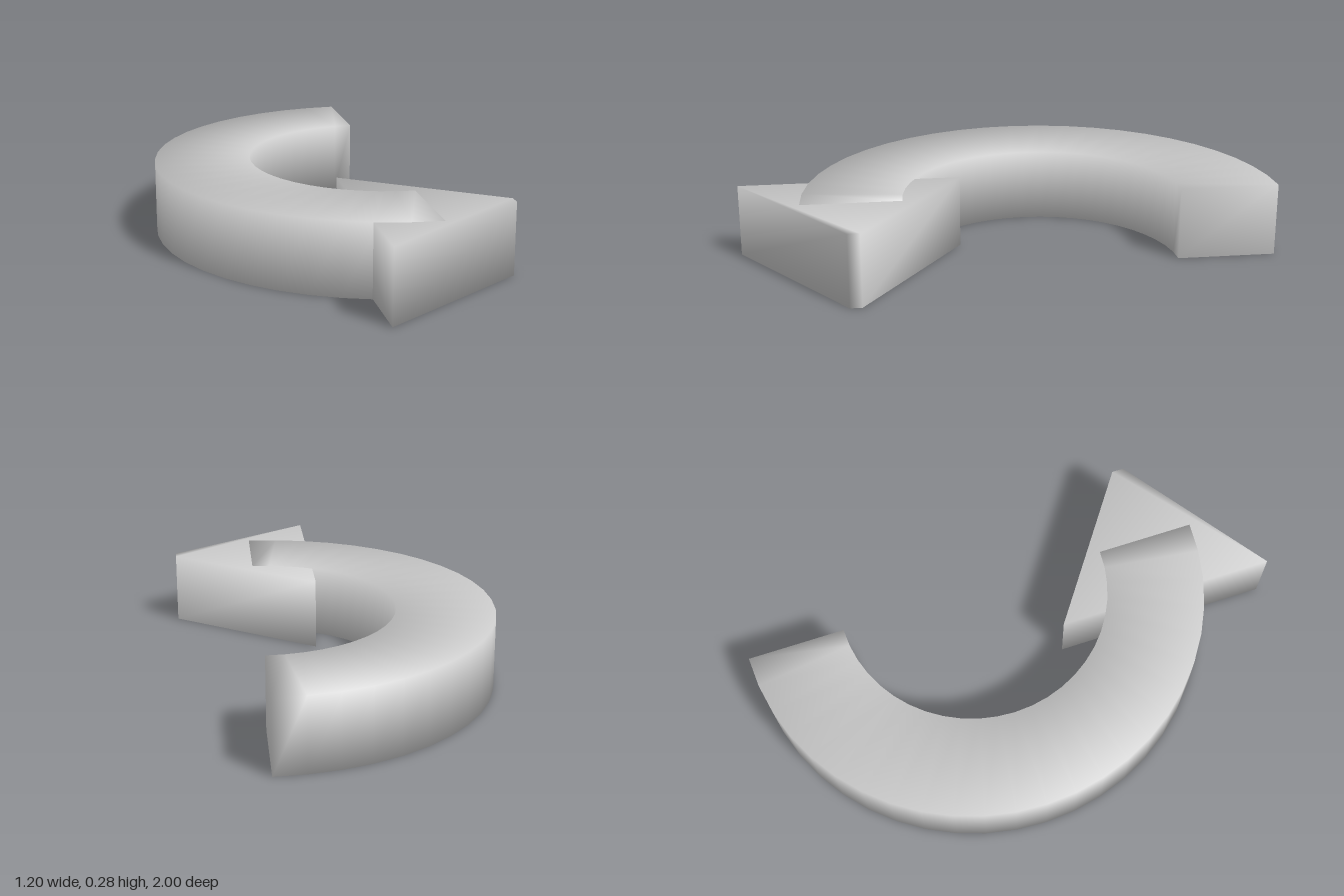
import * as THREE from 'three';

const material = new THREE.MeshStandardMaterial({ color: 0xcccccc });

// Skins a row of four-cornered sections with shared, smooth-shaded corners and capped ends.
function loft(name, sections) {
  const index = [];
  const last = (sections.length - 1) * 4;
  for (let i = 0; i < last; i += 4) {
    for (let j = 0; j < 4; j++) {
      const k = (j + 1) % 4;
      const a = i + j, b = i + k, c = a + 4, d = b + 4;
      index.push(a, c, d, a, d, b);
    }
  }
  index.push(0, 1, 2, 0, 2, 3);
  index.push(last, last + 2, last + 1, last, last + 3, last + 2);
  const geometry = new THREE.BufferGeometry();
  geometry.setAttribute('position', new THREE.Float32BufferAttribute(sections.flat(2), 3));
  geometry.setIndex(index);
  geometry.computeVertexNormals();
  const mesh = new THREE.Mesh(geometry, material);
  mesh.name = name;
  return mesh;
}

// Upright rectangle between two floor points [x, z].
const section = ([x0, z0], [x1, z1], bottom, top) => [
  [x0, bottom, z0], [x1, bottom, z1], [x1, top, z1], [x0, top, z0],
];

export function createModel() {
  const group = new THREE.Group();
  group.name = 'curvedArrow';

  // Half-ring shaft with a rectangular section
  const cx = 0.285, cz = -0.115, inner = 0.515, outer = 0.885, steps = 24;
  const ring = [];
  for (let i = 0; i <= steps; i++) {
    const a = (Math.PI * i) / steps;
    const at = (r) => [cx - r * Math.sin(a), cz - r * Math.cos(a)];
    ring.push(section(at(inner), at(outer), 0, 0.276));
  }
  group.add(loft('shaft', ring));

  // Blunt-tipped arrowhead, a hair thinner than the shaft so their faces never coincide
  group.add(loft('arrowhead', [
    section([0.597, 0.607], [0.597, 0.562], 0.001, 0.275),
    section([0.045, 1], [0.045, 0.17], 0.001, 0.275),
  ]));

  return group;
}
